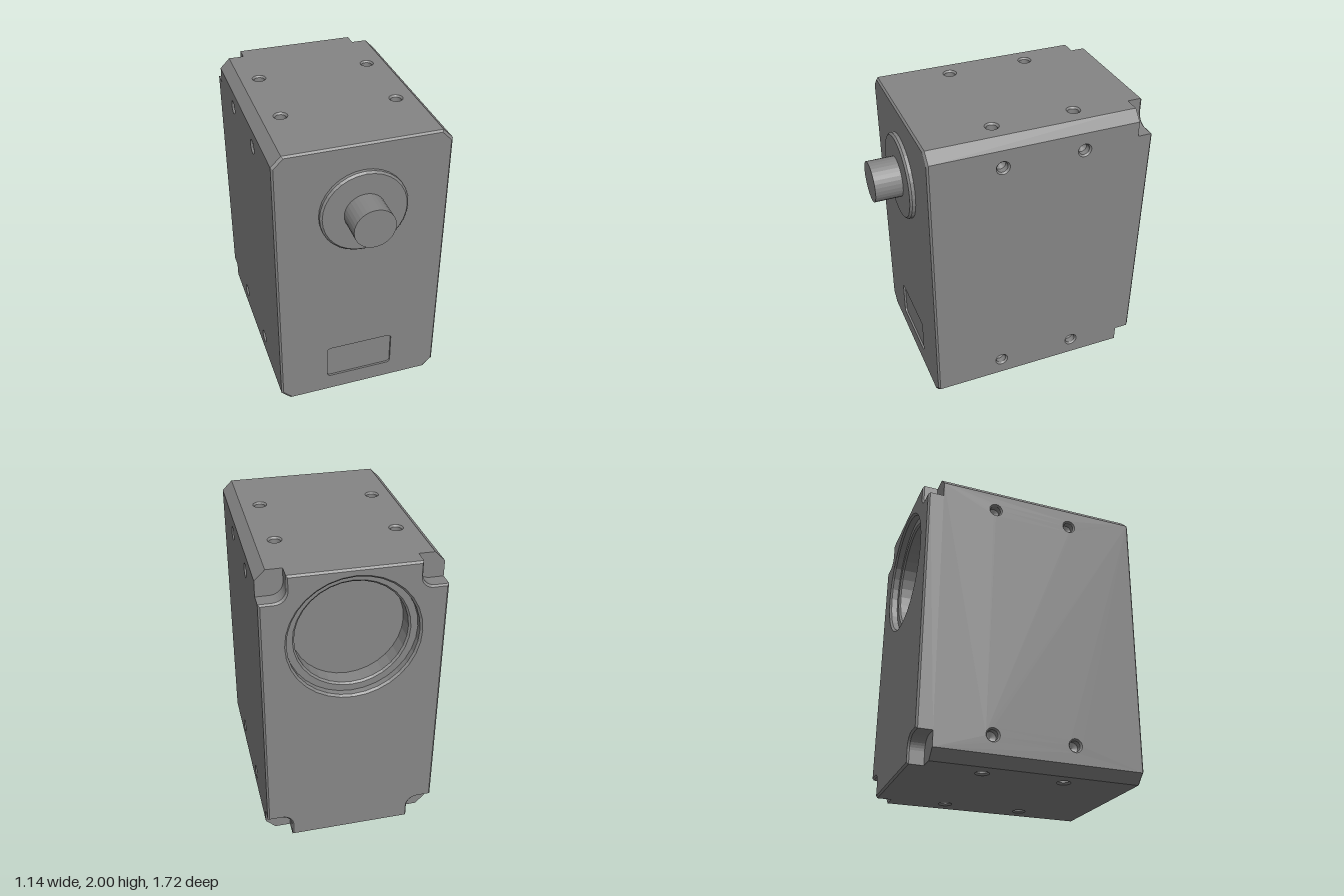
import * as THREE from 'three';

const W = 0.572, H = 1, CH = 0.065, BV = 0.012;  // half width, half height, corner chamfer, edge bevel
const FRONT = 0.643, BACK = -0.86, STEP = -0.755; // main z planes
const AXIS = 0.531;                               // shaft height above the body centre
const V = (x, y) => new THREE.Vector2(x, y);
const mat = new THREE.MeshStandardMaterial({ color: 0x858585, flatShading: true, side: THREE.DoubleSide });

function mesh(name, geometry, parent) {
  const m = new THREE.Mesh(geometry, mat);
  m.name = name;
  parent.add(m);
  return m;
}

// Flat face from an outline with optional holes
function face(points, holes = []) {
  const s = new THREE.Shape(points);
  s.holes.push(...holes);
  return new THREE.ShapeGeometry(s, 16);
}

const circle = (x, y, r) => new THREE.Path().absarc(x, y, r, 0, Math.PI * 2, true);

// Closed band between two matching outlines at depths za and zb
function band(a, za, b, zb) {
  const pos = [];
  a.forEach((p, i) => {
    const j = (i + 1) % a.length, q = a[j], r = b[j], s = b[i];
    pos.push(p.x, p.y, za, q.x, q.y, za, r.x, r.y, zb, p.x, p.y, za, r.x, r.y, zb, s.x, s.y, zb);
  });
  const g = new THREE.BufferGeometry();
  g.setAttribute('position', new THREE.Float32BufferAttribute(pos, 3));
  g.computeVertexNormals();
  return g;
}

// Mirror a first-quadrant point run into a full counter-clockwise outline
function fourWay(run) {
  return [[1, 1], [-1, 1], [-1, -1], [1, -1]].flatMap(([sx, sy]) => {
    const pts = run.map(p => V(p.x * sx, p.y * sy));
    return sx * sy < 0 ? pts.reverse() : pts;
  });
}

const inset = pts => pts.map(p => V(p.x * (W - BV) / W, p.y * (H - BV) / H));

function arc(cx, cy, r, a0, a1, n = 8) {
  return Array.from({ length: n + 1 }, (_, i) => {
    const a = a0 + (a1 - a0) * i / n;
    return V(cx + r * Math.cos(a), cy + r * Math.sin(a));
  });
}

// One long wall with four countersunk screw holes, facing local +x
function wall(name, dist, half, holeY) {
  const g = new THREE.Group();
  g.name = name;
  const spots = [-0.165, 0.382].flatMap(x => [V(x, holeY), V(x, -holeY)]);
  const panel = face([V(-FRONT + BV, -half), V(-STEP, -half), V(-STEP, half), V(-FRONT + BV, half)],
    spots.map(p => circle(p.x, p.y, 0.046)));
  mesh('wallPanel', panel.rotateY(Math.PI / 2).translate(dist, 0, 0), g);
  for (const p of spots) {
    const hole = new THREE.LatheGeometry([V(0.046, 0), V(0.036, -0.012), V(0.036, -0.05), V(0, -0.07)], 32);
    mesh('screwHole', hole.rotateZ(-Math.PI / 2).translate(dist, p.y, -p.x), g);
  }
  return g;
}

export function createModel() {
  const model = new THREE.Group();
  model.name = 'gearboxHousing';
  const body = new THREE.Group();
  body.name = 'housing';
  body.position.y = H;
  model.add(body);

  // Four long walls
  ['leftWall', 'topWall', 'rightWall', 'bottomWall'].forEach((name, k) => {
    const w = k % 2 ? wall(name, H, W - CH, 0.383) : wall(name, W, H - CH, 0.8125);
    w.rotation.z = k * Math.PI / 2;
    body.add(w);
  });

  // Chamfered long edges
  const len = FRONT - BV - STEP;
  for (const sx of [1, -1]) for (const sy of [1, -1]) {
    const c = mesh('cornerChamfer', new THREE.PlaneGeometry(len, CH * Math.SQRT2).rotateY(Math.PI / 2), body);
    c.position.set(sx * (W - CH / 2), sy * (H - CH / 2), (FRONT - BV + STEP) / 2);
    c.rotation.z = Math.atan2(sy, sx);
  }

  // Front face, its bevel and the shallow label recess
  const octagon = fourWay([V(W, H - CH), V(W - CH, H)]);
  const label = fourWay(arc(0.21, 0.107, 0.025, 0, Math.PI / 2)).map(p => V(p.x, p.y - 0.732));
  const labelZ = FRONT - 0.014;
  mesh('frontFace', face(inset(octagon), [new THREE.Path(label)]).translate(0, 0, FRONT), body);
  mesh('frontBevel', band(octagon, FRONT - BV, inset(octagon), FRONT), body);
  mesh('labelRecess', face(label).translate(0, 0, labelZ), body);
  mesh('labelRecessRim', band(label, FRONT, label, labelZ), body);

  // Back section with a rounded notch at each corner
  const nx = 0.405, ny = 0.832, r = 0.08;
  const notch = [V(W, ny), ...arc(nx + r, ny + r, r, -Math.PI / 2, -Math.PI), V(nx, H)];
  const outline = fourWay(notch);
  mesh('backSides', band(outline, BACK + BV, outline, STEP), body);
  mesh('backBevel', band(inset(outline), BACK, outline, BACK + BV), body);
  mesh('backFace', face(inset(outline), [circle(0, AXIS, 0.425)]).rotateY(Math.PI).translate(0, 0, BACK), body);
  for (const sx of [1, -1]) for (const sy of [1, -1]) {
    const pts = [...notch, V(W - CH, H), V(W, H - CH)].map(p => V(p.x * sx, p.y * sy));
    mesh('notchFloor', face(pts).rotateY(Math.PI).translate(0, 0, STEP), body);
  }

  // Stepped round recess in the back, both rims chamfered
  const recess = new THREE.LatheGeometry([V(0.425, 0), V(0.412, -0.013), V(0.412, -0.055), V(0.368, -0.055),
    V(0.356, -0.067), V(0.356, -0.17), V(0, -0.17)], 32);
  mesh('backRecess', recess.rotateX(-Math.PI / 2).translate(0, AXIS, BACK), body);

  // Front flange and output shaft
  const flange = new THREE.LatheGeometry([V(0.29, 0), V(0.29, 0.022), V(0.277, 0.035), V(0, 0.035)], 32);
  mesh('flange', flange.rotateX(Math.PI / 2).translate(0, AXIS, FRONT), body);
  const shaft = new THREE.CylinderGeometry(0.136, 0.136, 0.22, 32);
  mesh('outputShaft', shaft.rotateX(Math.PI / 2).translate(0, AXIS, 0.75), body);

  return model;
}
